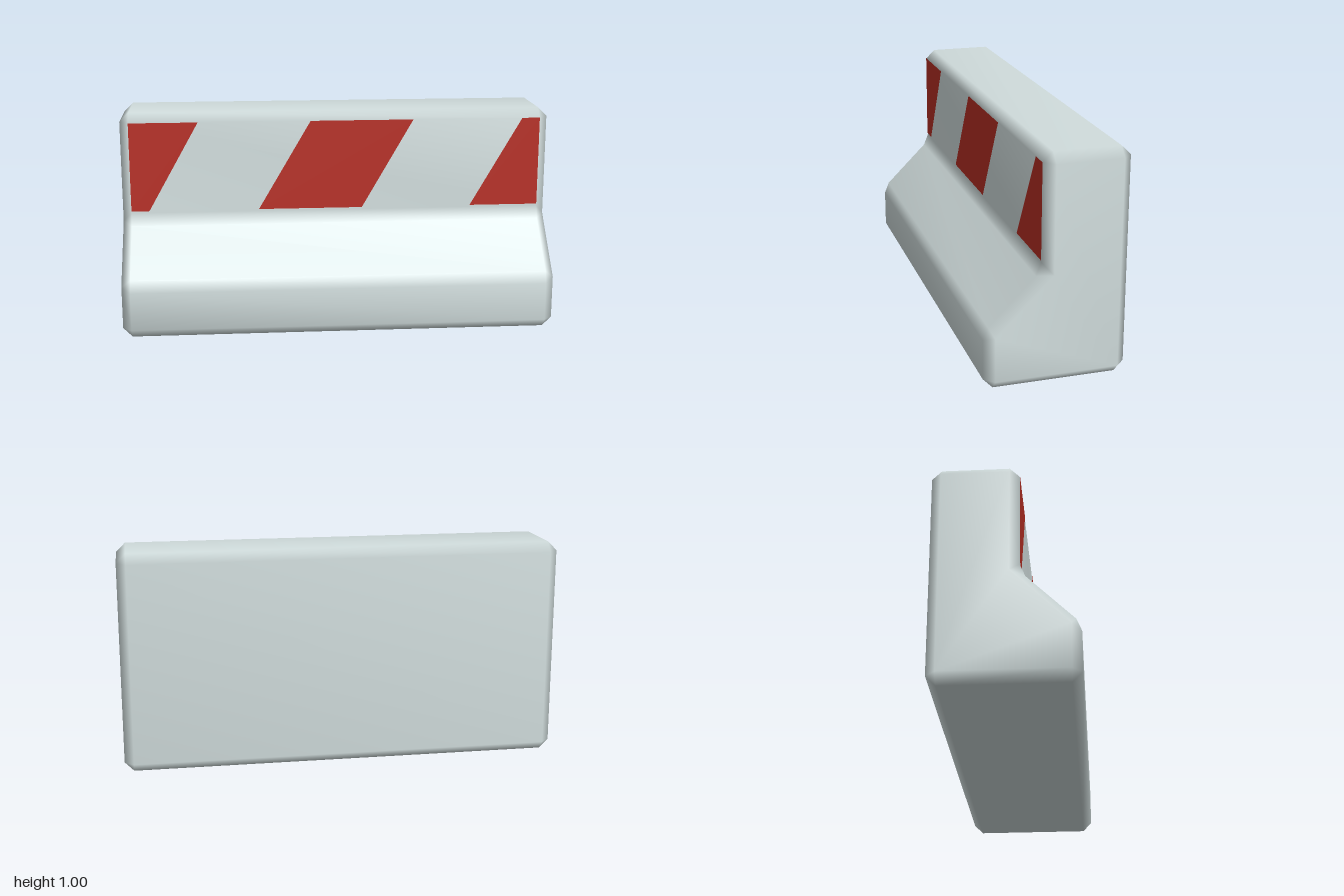
import * as THREE from 'three';

// Bevelled side profile as [z, y]; every two points share one corner of the end cap
const PROFILE = [
  [-0.31, 0.043], [-0.268, 0], [0.268, 0], [0.31, 0.043],
  [0.31, 0.22], [0.288, 0.275], [0.085, 0.477], [0.062, 0.533],
  [0.062, 0.958], [0.02, 1], [-0.268, 1], [-0.31, 0.958],
];
const CAP = [[-0.268, 0.043], [0.268, 0.043], [0.268, 0.238], [0.02, 0.487], [0.02, 0.958], [-0.268, 0.958]];

// Lofts cap, profile, profile, cap along x with shared vertices for soft bevels
function barrierGeometry() {
  const n = PROFILE.length;
  const rings = [[-1, CAP], [-0.958, PROFILE], [0.958, PROFILE], [1, CAP]];
  const starts = [];
  const positions = [];
  const index = [];
  for (const [x, points] of rings) {
    starts.push(positions.length / 3);
    for (const [z, y] of points) positions.push(x, y, z);
  }
  const vertex = (r, i) => starts[r] + (rings[r][1] === CAP ? Math.floor((i % n) / 2) : i % n);
  const triangle = (a, b, c) => {
    if (a !== b && b !== c && c !== a) index.push(a, b, c);
  };
  for (let r = 0; r < 3; r++) {
    for (let i = 0; i < n; i++) {
      const a = vertex(r, i), b = vertex(r, i + 1), c = vertex(r + 1, i + 1), d = vertex(r + 1, i);
      triangle(a, d, b);
      triangle(b, d, c);
    }
  }
  // End faces
  const faces = THREE.ShapeUtils.triangulateShape(CAP.map(([z, y]) => new THREE.Vector2(z, y)), []);
  for (const [a, b, c] of faces) {
    triangle(a, b, c);
    triangle(starts[3] + a, starts[3] + c, starts[3] + b);
  }
  const geometry = new THREE.BufferGeometry();
  geometry.setAttribute('position', new THREE.Float32BufferAttribute(positions, 3));
  geometry.setIndex(index);
  geometry.computeVertexNormals();
  return geometry;
}

export function createModel() {
  const concrete = new THREE.MeshStandardMaterial({ name: 'pale grey concrete', color: 0xd0dcdc });
  const red = new THREE.MeshStandardMaterial({ name: 'warning red', color: 0xb92f25 });
  const group = new THREE.Group();
  group.name = 'roadBarrier';

  const body = new THREE.Mesh(barrierGeometry(), concrete);
  body.name = 'barrierBody';
  group.add(body);

  // Slanted warning stripes on the upper front wall
  const low = 0.542, high = 0.958;
  const stripes = {
    rightStripe: [-0.958, -0.875, -0.64, -0.958],
    middleStripe: [-0.365, 0.12, 0.36, -0.12],
    leftStripe: [0.635, 0.958, 0.958, 0.875],
  };
  for (const [name, [x0, x1, x2, x3]] of Object.entries(stripes)) {
    const shape = new THREE.Shape([
      new THREE.Vector2(x0, low), new THREE.Vector2(x1, low),
      new THREE.Vector2(x2, high), new THREE.Vector2(x3, high),
    ]);
    const stripe = new THREE.Mesh(new THREE.ShapeGeometry(shape), red);
    stripe.name = name;
    stripe.position.z = 0.064;
    group.add(stripe);
  }
  return group;
}
